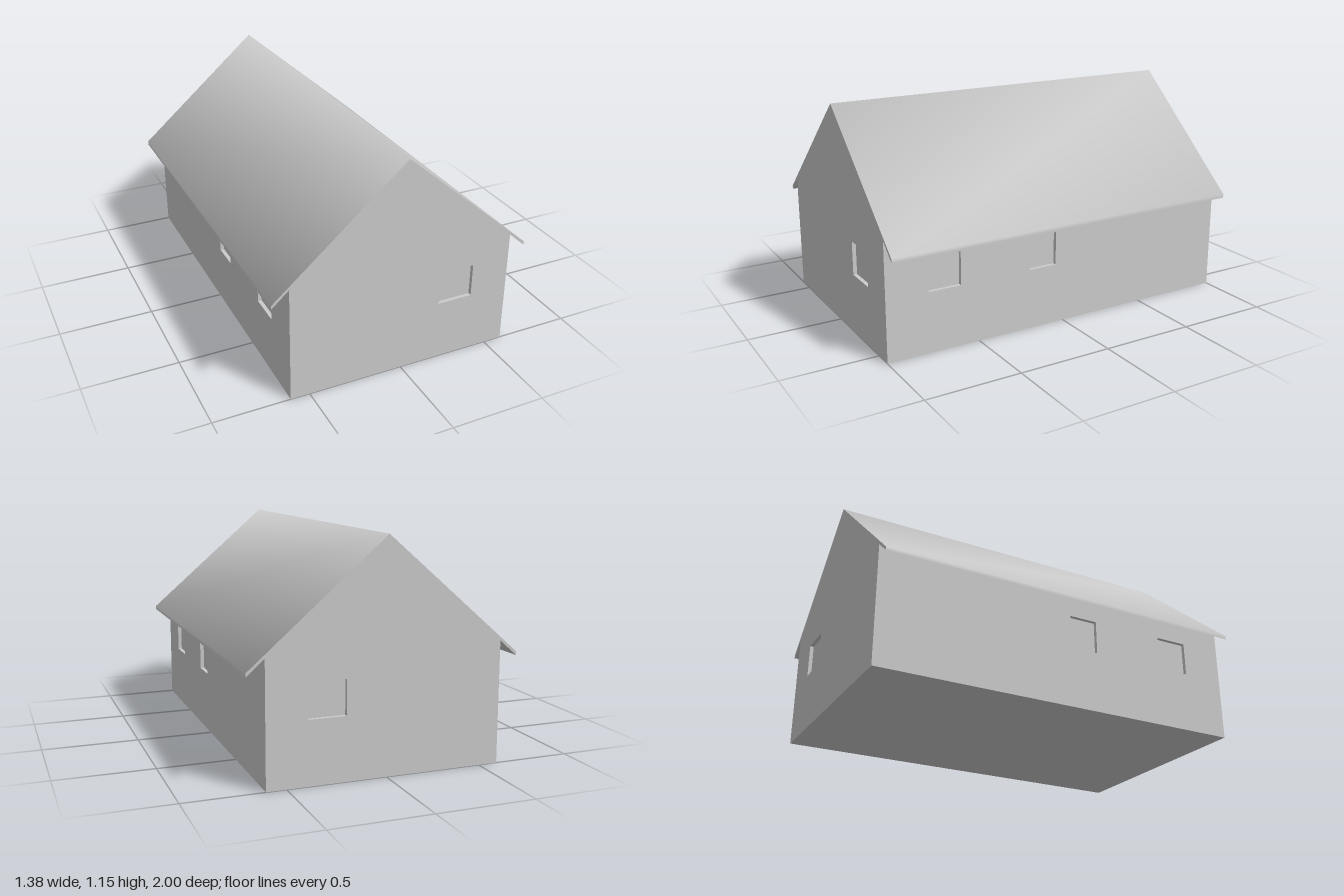
import * as THREE from 'three';
import { toCreasedNormals } from 'three/addons/utils/BufferGeometryUtils.js';

const HALF_W = 0.6, HALF_L = 1, WALL_H = 0.62;
const SILL = 0.32, HEAD = 0.496, RECESS = 0.02;
const material = new THREE.MeshStandardMaterial({ color: 0xcccccc });

// Half of the roof section, from the soffit at the wall up to the ridge
const eave = [[HALF_W, WALL_H], [0.69, 0.54], [0.69, 0.56], [0, 1.155]];
const roofLine = [...eave, ...eave.slice(0, -1).reverse().map(([x, y]) => [-x, y])];

function addMesh(parent, geometry, name) {
  const mesh = new THREE.Mesh(geometry, material);
  mesh.name = name;
  parent.add(mesh);
  return mesh;
}

// Box seen from inside, without its front: the reveals and pane of a window
function recessGeometry(width, height) {
  const geo = new THREE.BoxGeometry(width, height, RECESS);
  const index = Array.from(geo.index.array);
  index.splice(24, 6);
  geo.setIndex(index.reverse());
  geo.clearGroups();
  const normal = geo.attributes.normal;
  for (let i = 0; i < normal.array.length; i++) normal.array[i] *= -1;
  return geo;
}

// Flat wall facing local +z, with a recessed window for each [x0, x1] span
function makeWall(name, outline, spans) {
  const wall = new THREE.Group();
  wall.name = name;
  const shape = new THREE.Shape(outline.map(([x, y]) => new THREE.Vector2(x, y)));
  for (const [x0, x1] of spans) {
    const corners = [[x0, SILL], [x0, HEAD], [x1, HEAD], [x1, SILL]];
    shape.holes.push(new THREE.Path(corners.map(([x, y]) => new THREE.Vector2(x, y))));
    const recess = addMesh(wall, recessGeometry(x1 - x0, HEAD - SILL), 'window');
    recess.position.set((x0 + x1) / 2, (SILL + HEAD) / 2, -RECESS / 2);
  }
  addMesh(wall, new THREE.ShapeGeometry(shape), 'wallFace');
  return wall;
}

// Roof skin swept along the building, soft over the ridge and sharp at the soffit
function roofGeometry() {
  const positions = [], indices = [];
  for (const [x, y] of roofLine) positions.push(x, y, HALF_L, x, y, -HALF_L);
  for (let i = 0; i < roofLine.length - 1; i++) {
    const a = i * 2;
    indices.push(a, a + 1, a + 3, a, a + 3, a + 2);
  }
  const geo = new THREE.BufferGeometry();
  geo.setAttribute('position', new THREE.Float32BufferAttribute(positions, 3));
  geo.setIndex(indices);
  return toCreasedNormals(geo, THREE.MathUtils.degToRad(85));
}

export function createModel() {
  const house = new THREE.Group();
  house.name = 'house';

  // Gable ends, window on the +x half of both
  const gable = [[-HALF_W, 0], [HALF_W, 0], ...roofLine];
  const front = makeWall('frontGable', gable, [[0.205, 0.393]]);
  front.position.z = HALF_L;
  const back = makeWall('backGable', gable, [[-0.393, -0.205]]);
  back.position.z = -HALF_L;
  back.rotation.y = Math.PI;

  // Long walls, two windows each at matching places along the length
  const side = [[-HALF_L, 0], [HALF_L, 0], [HALF_L, WALL_H], [-HALF_L, WALL_H]];
  const spans = [[0.05, 0.205], [0.6, 0.775]];
  const left = makeWall('leftWall', side, spans.map(([a, b]) => [-b, -a]));
  left.position.x = HALF_W;
  left.rotation.y = Math.PI / 2;
  const right = makeWall('rightWall', side, spans);
  right.position.x = -HALF_W;
  right.rotation.y = -Math.PI / 2;
  house.add(front, back, left, right);

  // Roof and underside
  addMesh(house, roofGeometry(), 'roof');
  const floor = new THREE.PlaneGeometry(HALF_W * 2, HALF_L * 2).rotateX(Math.PI / 2);
  addMesh(house, floor, 'floor');

  return house;
}
